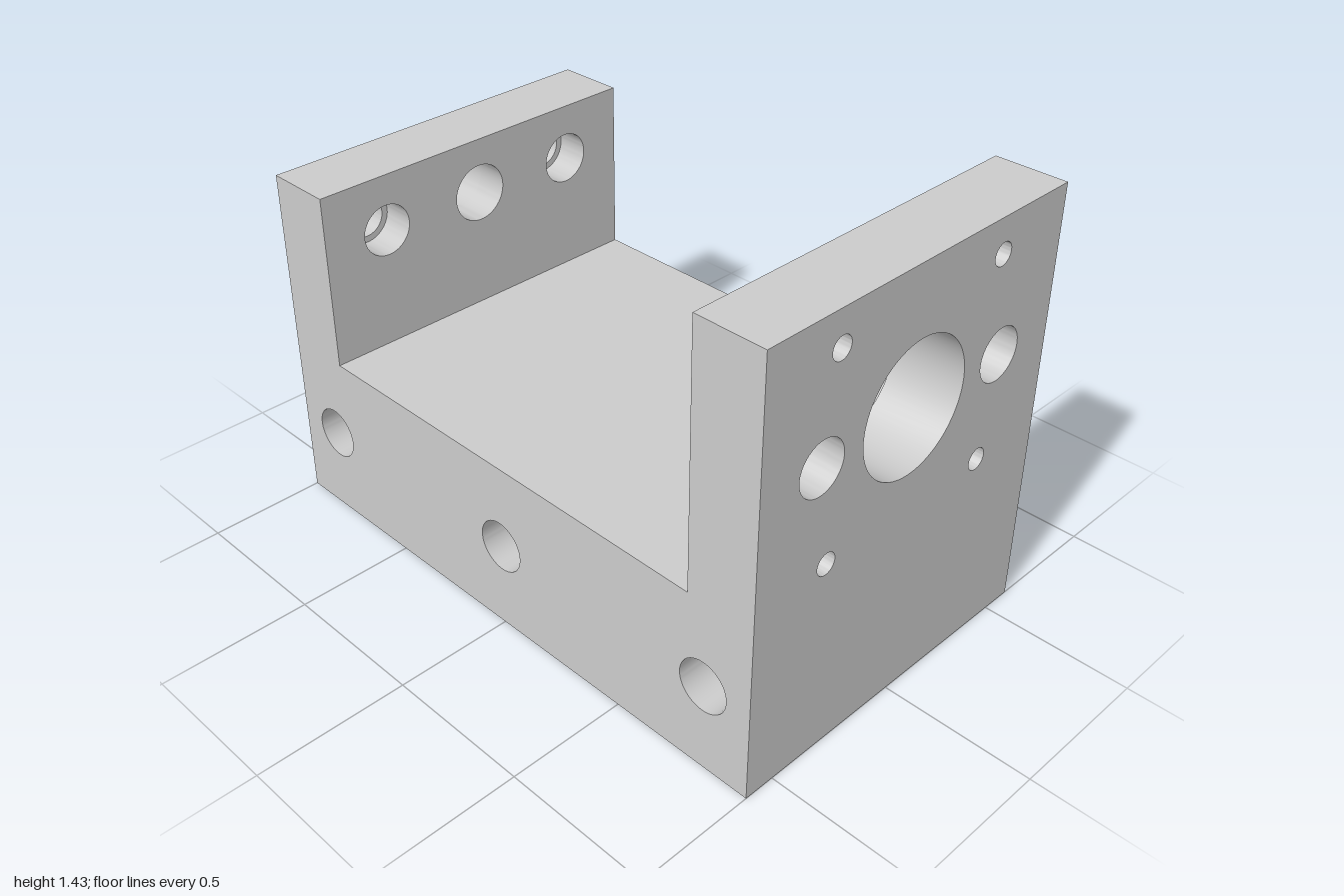
import * as THREE from 'three';
import { toCreasedNormals } from 'three/addons/utils/BufferGeometryUtils.js';

const WIDTH = 1.21, BASE_TOP = 0.585, WALL = 0.232, AXIS_Y = 0.985;
const material = new THREE.MeshStandardMaterial({ color: 0xcccccc });

// Rectangular slab centred on x and z, pierced by round holes [x, y, radius]
function slab(width, bottom, top, depth, holes) {
  const w = width / 2;
  const shape = new THREE.Shape([
    new THREE.Vector2(-w, bottom), new THREE.Vector2(w, bottom),
    new THREE.Vector2(w, top), new THREE.Vector2(-w, top),
  ]);
  for (const [x, y, r] of holes) {
    shape.holes.push(new THREE.Path().absarc(x, y, r, 0, Math.PI * 2, true));
  }
  const geometry = new THREE.ExtrudeGeometry(shape, { depth, bevelEnabled: false, curveSegments: 32 });
  geometry.translate(0, 0, -depth / 2);
  return toCreasedNormals(geometry, 0.5);
}

function part(name, geometry, z = 0) {
  const mesh = new THREE.Mesh(geometry, material);
  mesh.name = name;
  mesh.position.z = z;
  return mesh;
}

const pair = (x, y, r) => [[-x, y, r], [x, y, r]];

export function createModel() {
  const group = new THREE.Group();
  group.name = 'mountingBracket';

  // Base block with three cross holes running along x
  const crossHoles = [-0.83, 0, 0.83].map((z) => [z, 0.295, 0.086]);
  group.add(part('base', slab(2, 0, BASE_TOP, WIDTH, crossHoles).rotateY(Math.PI / 2)));

  // Tall front wall: motor bore, rod holes and four screw holes
  const frontHoles = [
    [0, AXIS_Y, 0.213],
    ...pair(0.375, AXIS_Y, 0.086),
    ...pair(0.33, 1.315, 0.036),
    ...pair(0.33, 0.655, 0.036),
  ];
  group.add(part('frontWall', slab(WIDTH, BASE_TOP, 1.43, WALL, frontHoles), 1 - WALL / 2));

  // Lower back wall in two layers, so the rod holes are counterbored from inside
  const backWall = new THREE.Group();
  backWall.name = 'backWall';
  [['innerLayer', 0.086, 0.75], ['outerLayer', 0.065, 0.25]].forEach(([name, r, t]) => {
    const holes = [[0, AXIS_Y, 0.097], ...pair(0.375, AXIS_Y, r)];
    backWall.add(part(name, slab(WIDTH, BASE_TOP, 1.173, WALL / 2, holes), -1 + WALL * t));
  });
  group.add(backWall);

  return group;
}
